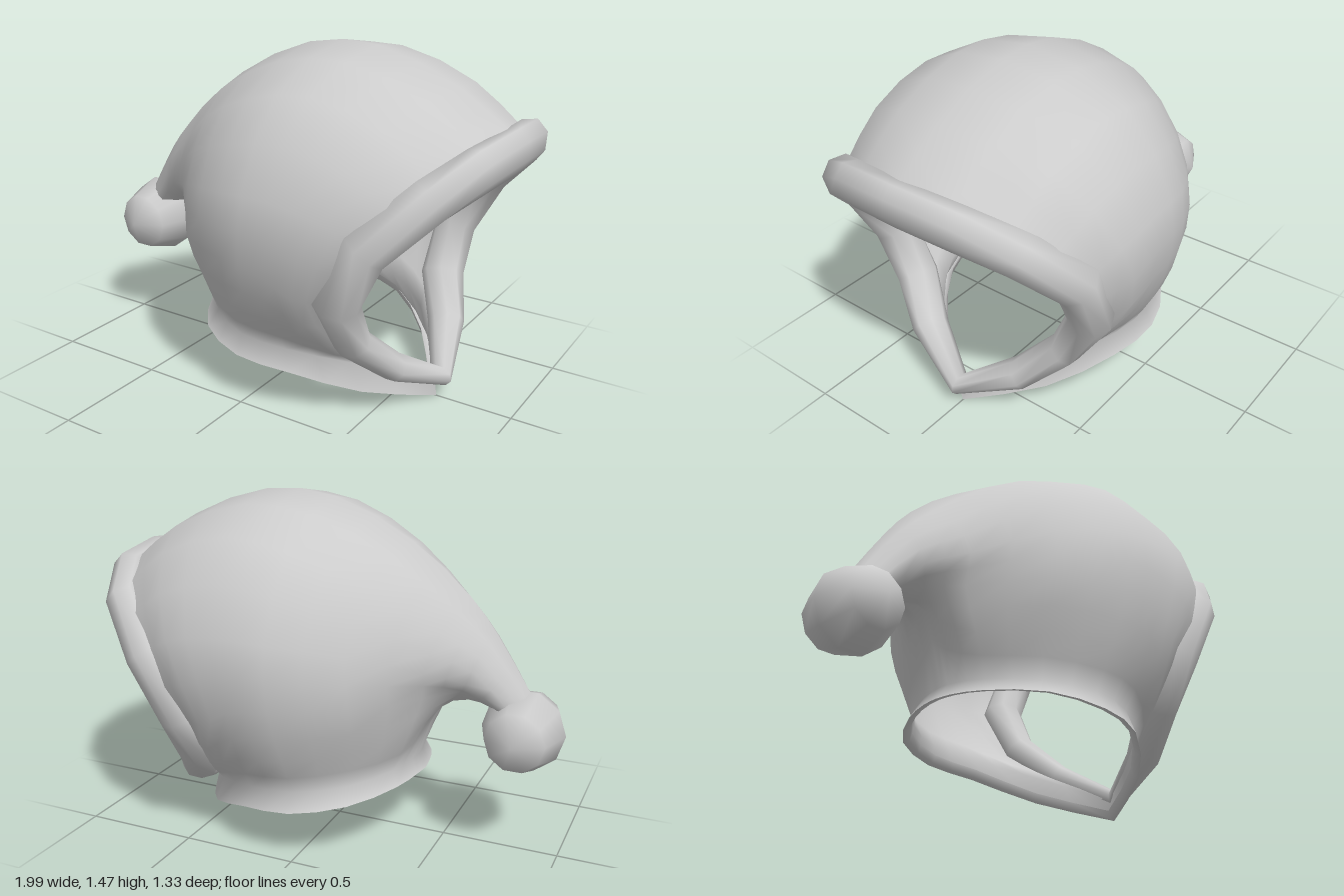
import * as THREE from 'three';
import { mergeVertices } from 'three/addons/utils/BufferGeometryUtils.js';

const V = (p) => new THREE.Vector3(...p);
const flip = (p) => new THREE.Vector3(p.x, p.y, -p.z);

// Smooth curve through points, with n steps between neighbours
function refine(points, n) {
  const curve = new THREE.CatmullRomCurve3(points);
  const steps = (points.length - 1) * n;
  return Array.from({ length: steps + 1 }, (_, i) => curve.getPoint(i / steps));
}

// Closed loop from a half whose first and last points lie on z = 0
function mirrorLoop(half) {
  return [...half, ...half.slice(1, -1).reverse().map(flip)];
}

// Skin over rows of equally many points
function skin(rows, closeColumns = false, closeRows = false) {
  const n = rows[0].length, m = rows.length, index = [];
  for (let i = 0; i < (closeRows ? m : m - 1); i++) {
    for (let j = 0; j < (closeColumns ? n : n - 1); j++) {
      const i2 = (i + 1) % m, j2 = (j + 1) % n;
      const a = i * n + j, b = i * n + j2, c = i2 * n + j, d = i2 * n + j2;
      index.push(a, b, c, b, d, c);
    }
  }
  const g = new THREE.BufferGeometry().setFromPoints(rows.flat());
  g.setIndex(index);
  const merged = mergeVertices(g, 1e-4);
  merged.computeVertexNormals();
  return merged;
}

// Arches from face opening to tail tip; each runs from neck edge to crown
const ARCHES = [
  [[0.64, 0.09, 0], [0.47, 0.34, 0.38], [0.44, 0.6, 0.58], [0.6, 0.86, 0.59], [0.8, 1.08, 0.41], [0.91, 1.19, 0]],
  [[0.42, 0.23, 0.32], [0.38, 0.36, 0.47], [0.34, 0.6, 0.62], [0.46, 0.94, 0.645], [0.6, 1.24, 0.43], [0.7, 1.335, 0]],
  [[0.2, 0.29, 0.46], [0.2, 0.45, 0.56], [0.2, 0.68, 0.645], [0.25, 0.98, 0.655], [0.3, 1.33, 0.44], [0.34, 1.465, 0]],
  [[0, 0.31, 0.48], [0, 0.47, 0.56], [0.02, 0.7, 0.635], [0.03, 0.97, 0.635], [0.02, 1.29, 0.44], [0.02, 1.45, 0]],
  [[-0.2, 0.33, 0.38], [-0.24, 0.5, 0.43], [-0.26, 0.7, 0.5], [-0.24, 0.92, 0.5], [-0.27, 1.16, 0.34], [-0.33, 1.285, 0]],
  [[-0.33, 0.35, 0.2], [-0.4, 0.52, 0.22], [-0.46, 0.7, 0.22], [-0.48, 0.82, 0.27], [-0.52, 0.97, 0.2], [-0.58, 1.08, 0]],
  [[-0.37, 0.36, 0.07], [-0.47, 0.6, 0.07], [-0.57, 0.69, 0.1], [-0.62, 0.76, 0.16], [-0.66, 0.87, 0.13], [-0.7, 0.93, 0]],
  [[-0.38, 0.36, 0], [-0.51, 0.67, 0], [-0.68, 0.63, 0], [-0.75, 0.64, 0.1], [-0.82, 0.66, 0.075], [-0.85, 0.7, 0]],
];

// Lower edge of the collar, chin to nape
const FLARE = [
  [0.665, 0, 0], [0.47, 0.1, 0.3], [0.23, 0.2, 0.48], [0, 0.23, 0.52],
  [-0.22, 0.265, 0.43], [-0.36, 0.29, 0.22], [-0.4, 0.3, 0.08], [-0.41, 0.3, 0],
];

// Face rim centre line, chin to brow: x, y, z, radial radius, depth radius
const RIM = [
  [0.68, 0.1, 0, 0.042, 0.05], [0.58, 0.23, 0.25, 0.06, 0.08], [0.48, 0.38, 0.41, 0.07, 0.095],
  [0.48, 0.59, 0.53, 0.09, 0.095], [0.61, 0.84, 0.555, 0.09, 0.095], [0.79, 1.015, 0.425, 0.095, 0.09],
  [0.885, 1.095, 0.25, 0.1, 0.08], [0.915, 1.115, 0, 0.1, 0.075],
];

// Hood and tail, continuing smoothly into the flared collar
function hoodGeometry() {
  const arches = ARCHES.map((arch) => {
    const half = arch.map(V);
    return refine([...half, ...half.slice(0, -1).reverse().map(flip)], 2);
  });
  const columns = arches[0].map((_, j) => refine(arches.map((a) => a[j]), 2));
  const flare = refine(FLARE.map(V), 2);
  return skin(flare.map((p, i) => [p, ...columns.map((c) => c[i]), flip(p)]));
}

// Folded lip just inside the collar's lower edge
function hemGeometry() {
  const edge = mirrorLoop(refine(FLARE.map(V), 2));
  const inset = (s, lift) => edge.map((p) =>
    new THREE.Vector3(0.12 + (p.x - 0.12) * s, p.y + lift, p.z * s));
  return skin([edge, inset(0.95, 0.005), inset(0.93, 0.04)], true);
}

function rimGeometry() {
  const loop = [...RIM, ...RIM.slice(1, -1).reverse().map(([x, y, z, r, d]) => [x, y, -z, r, d])];
  const forward = new THREE.Vector3(0.95, -0.3, 0).normalize();
  const at = (i) => V(loop[(i + loop.length) % loop.length].slice(0, 3));
  const rows = loop.map(([, , , r, d], i) => {
    const along = at(i + 1).sub(at(i - 1)).normalize();
    const out = forward.clone().cross(along).normalize();
    const depth = along.clone().cross(out);
    return Array.from({ length: 8 }, (_, k) => {
      const a = (k / 8) * Math.PI * 2;
      return at(i).addScaledVector(out, r * Math.cos(a)).addScaledVector(depth, d * Math.sin(a));
    });
  });
  return skin(rows, true, true);
}

export function createModel() {
  const group = new THREE.Group();
  group.name = 'hoodedCap';
  const material = new THREE.MeshStandardMaterial({ color: 0xcccccc, side: THREE.DoubleSide });
  const add = (name, geometry) => {
    const mesh = new THREE.Mesh(geometry, material);
    mesh.name = name;
    group.add(mesh);
    return mesh;
  };

  add('hood', hoodGeometry());
  add('collarHem', hemGeometry());
  add('faceRim', rimGeometry());

  // Bobble at the tail tip, poles toward the sides
  const bobble = new THREE.SphereGeometry(1, 10, 4);
  bobble.rotateX(Math.PI / 2).scale(0.175, 0.178, 0.22);
  add('bobble', bobble).position.set(-0.825, 0.54, 0);

  return group;
}
